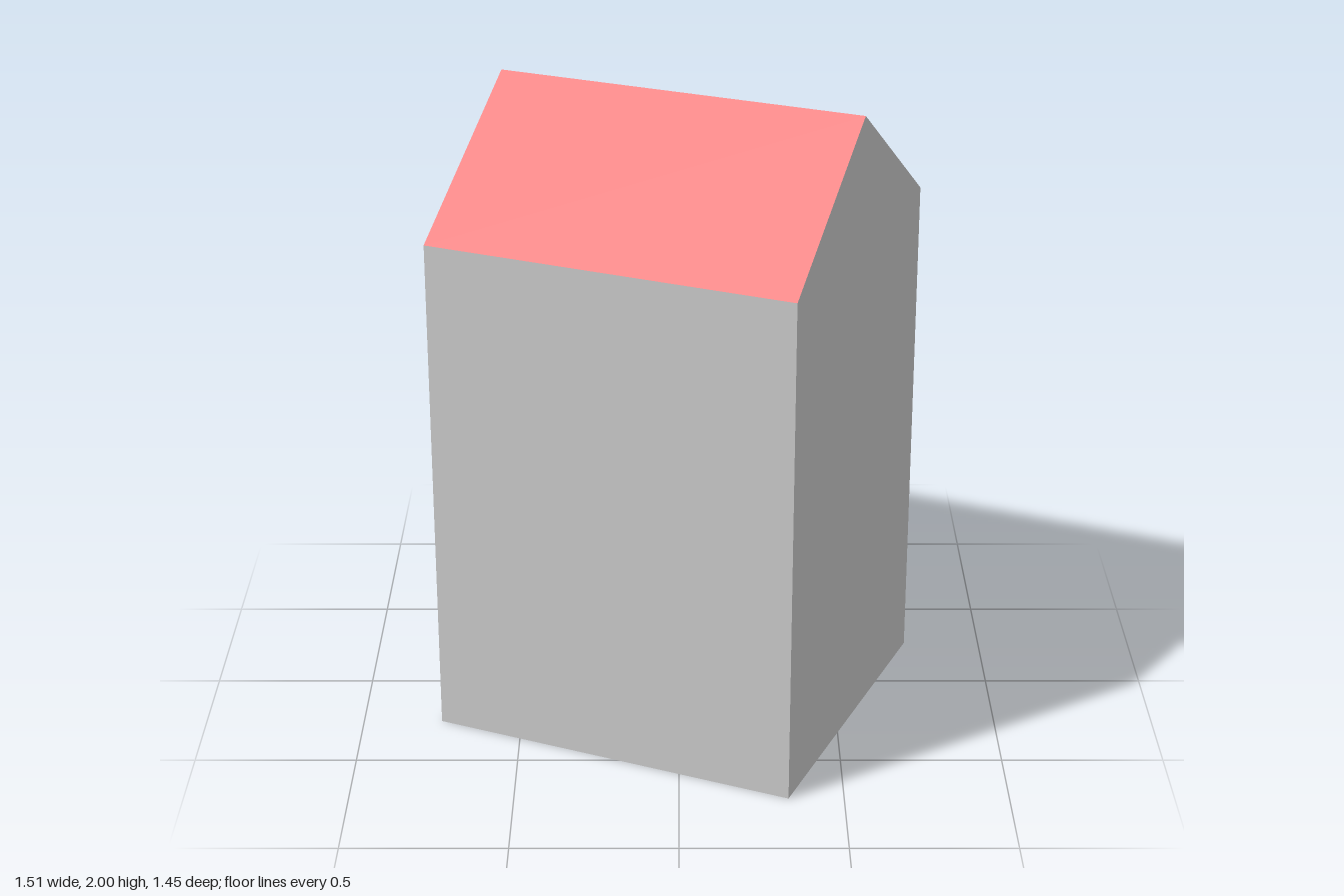
import * as THREE from 'three';

const LENGTH = 1.18, HALF = 0.535, EAVE = 1.61, RIDGE = 2;

export function createModel() {
  const model = new THREE.Group();
  model.name = 'house';
  const house = new THREE.Group();
  house.name = 'houseShell';
  house.rotation.y = Math.PI / 2 - 0.405; // the ridge runs along local z
  model.add(house);

  const grey = new THREE.MeshStandardMaterial({ color: 0xcccccc, flatShading: true });
  const red = new THREE.MeshStandardMaterial({ color: 0xf47e7e, flatShading: true });

  const add = (name, geometry, material) => {
    const mesh = new THREE.Mesh(geometry, material);
    mesh.name = name;
    house.add(mesh);
    return mesh;
  };

  // Gable profile, counter-clockwise from the lower left
  const profile = [[-HALF, 0], [HALF, 0], [HALF, EAVE], [0, RIDGE], [-HALF, EAVE]];
  const z = LENGTH / 2;

  // One flat panel along the house for each edge of the profile
  const names = ['floor', 'frontWall', 'frontRoof', 'backRoof', 'backWall'];
  names.forEach((name, i) => {
    const a = profile[i], b = profile[(i + 1) % profile.length];
    const panel = new THREE.BufferGeometry();
    panel.setAttribute('position', new THREE.Float32BufferAttribute(
      [...a, z, ...a, -z, ...b, -z, ...b, z], 3));
    panel.setIndex([0, 1, 2, 0, 2, 3]);
    panel.computeVertexNormals();
    add(name, panel, name.endsWith('Roof') ? red : grey);
  });

  // Gable walls close both ends
  const gable = new THREE.ShapeGeometry(
    new THREE.Shape(profile.map(([x, y]) => new THREE.Vector2(x, y))));
  add('leftGable', gable, grey).position.z = z;
  const rightGable = add('rightGable', gable, grey);
  rightGable.position.z = -z;
  rightGable.rotation.y = Math.PI;

  return model;
}
